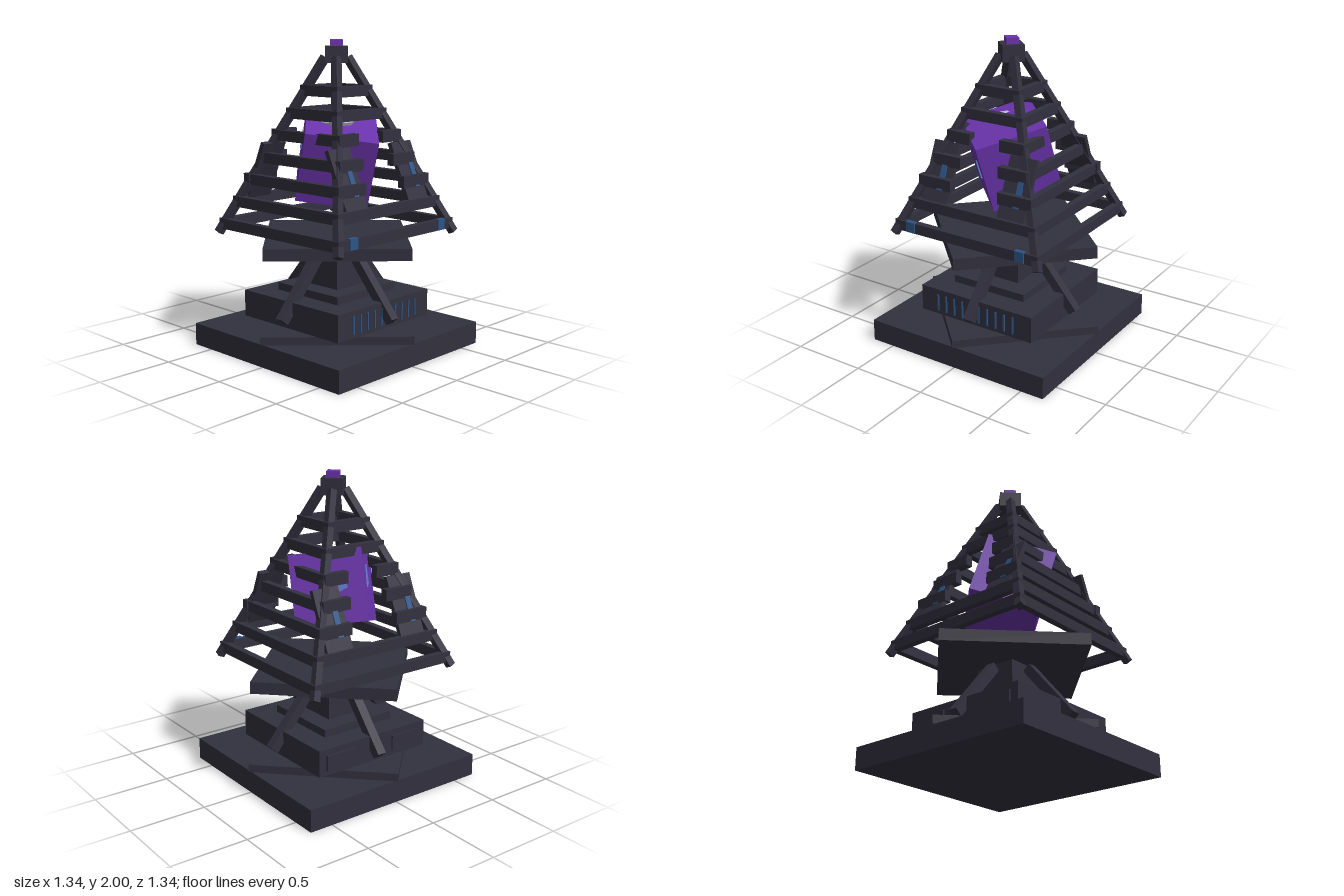
import * as THREE from 'three';

const mat = (name, color, opts = {}) => {
  const m = new THREE.MeshStandardMaterial({ color, flatShading: true, ...opts });
  m.name = name;
  return m;
};

export function createModel() {
  const model = new THREE.Group();
  model.name = 'crystalPyramid';
  const dark = mat('darkMetal', 0x32303e);
  const purple = mat('purpleCrystal', 0x6a34ac);
  const blue = mat('deepBlue', 0x2c5588);
  const shardBlue = mat('paleBlueShard', 0x6078c8);
  const pale = mat('paleRing', 0xbdb6cc);

  const add = (parent, name, geo, m, x = 0, y = 0, z = 0) => {
    const mesh = new THREE.Mesh(geo, m);
    mesh.name = name;
    mesh.position.set(x, y, z);
    parent.add(mesh);
    return mesh;
  };
  const box = (parent, name, m, w, h, d, x, y, z) =>
    add(parent, name, new THREE.BoxGeometry(w, h, d), m, x, y, z);
  // square slab turned 45 degrees, corners on the x and z axes
  const diamond = (name, m, r, y0, y1) =>
    add(model, name, new THREE.CylinderGeometry(r, r, y1 - y0, 4), m, 0, (y0 + y1) / 2, 0);
  // square bar between two points
  const bar = (parent, name, a, b, t) => {
    const dir = b.clone().sub(a);
    const mesh = box(parent, name, dark, t, dir.length(), t, 0, 0, 0);
    mesh.position.copy(a).add(b).multiplyScalar(0.5);
    mesh.quaternion.setFromUnitVectors(new THREE.Vector3(0, 1, 0), dir.normalize());
    return mesh;
  };
  const V = (x, y, z) => new THREE.Vector3(x, y, z);

  // Base, plinth and column
  box(model, 'base', dark, 1.315, 0.145, 1.315, 0, 0.0725, 0);
  diamond('baseDiamond', dark, 0.672, 0.145, 0.197);
  box(model, 'plinth', dark, 0.85, 0.175, 0.85, 0, 0.2845, 0);
  box(model, 'plinthStep', dark, 0.54, 0.05, 0.54, 0, 0.397, 0);
  box(model, 'column', dark, 0.29, 0.25, 0.29, 0, 0.547, 0);
  diamond('platform', dark, 0.645, 0.67, 0.747);

  // Slits on the front of the plinth, panels on the back
  for (let i = 0; i < 10; i++)
    box(model, 'ventSlit', blue, 0.01, 0.115, 0.009, (i - 4.5) * 0.0645, 0.28, 0.429);
  for (const s of [-1, 1])
    box(model, 'backPanel', dark, 0.22, 0.1, 0.02, s * 0.26, 0.28, -0.427);

  // Four slanted struts
  for (let i = 0; i < 4; i++) {
    const g = new THREE.Group();
    g.name = 'strutGroup';
    g.rotation.y = i * Math.PI / 2;
    bar(g, 'strut', V(0, 0.255, 0.49), V(0, 0.645, 0.16), 0.062);
    model.add(g);
  }

  // Pyramid frame: corner legs
  const reach = y => 0.54 - 0.434 * (y - 0.76);
  for (const sx of [-1, 1]) for (const sz of [-1, 1])
    bar(model, 'cornerLeg', V(sx * 0.54, 0.76, sz * 0.54), V(sx * 0.05, 1.889, sz * 0.05), 0.046);

  // Pyramid frame: crossbars; front and back leave a gap in the middle
  const levels = [0.82, 0.965, 1.11, 1.25, 1.395, 1.535, 1.68];
  const gaps = { 2: [0.175, 0.42], 3: [0.14, 0.345], 4: [0.11, 0.285] };
  for (let side = 0; side < 4; side++) {
    const g = new THREE.Group();
    g.name = ['frontFace', 'leftFace', 'backFace', 'rightFace'][side];
    g.rotation.y = side * Math.PI / 2;
    model.add(g);
    const open = side % 2 === 0;
    levels.forEach((y, i) => {
      const r = reach(y);
      if (open && gaps[i]) {
        const [a, b] = gaps[i];
        for (const s of [-1, 1])
          box(g, 'shortCrossbar', dark, b - a, 0.075, 0.05, s * (a + b) / 2, y, r + 0.012);
      } else {
        box(g, 'crossbar', dark, 2 * r + 0.045, 0.068, 0.045, 0, y, r);
      }
    });
    // Sloping shutters with a lit strip
    if (open) for (const s of [-1, 1]) {
      const shutter = new THREE.Group();
      shutter.name = 'shutter';
      shutter.position.set(s * 0.285, 1.165, reach(1.165));
      shutter.rotation.x = -Math.atan(0.434);
      box(shutter, 'shutterPanel', dark, 0.19, 0.4, 0.03, 0, 0, 0);
      box(shutter, 'shutterStrip', blue, 0.04, 0.18, 0.008, 0.025, -0.02, 0.019);
      g.add(shutter);
    }
  }

  // Blue lamps on the lowest front crossbar
  for (const s of [-1, 1])
    box(model, 'lamp', blue, 0.066, 0.07, 0.03, s * 0.41, 0.825, reach(0.82) + 0.016);

  // Cap and tip
  diamond('cap', dark, 0.1, 1.855, 1.96);
  diamond('capTip', purple, 0.057, 1.96, 2.0);

  // Tilted crystal cube
  const crystal = new THREE.Group();
  crystal.name = 'crystal';
  crystal.position.set(0, 1.243, 0);
  crystal.rotation.set(0.3, Math.PI / 4, 0.09, 'ZXY');
  model.add(crystal);
  const size = 0.46;
  box(crystal, 'crystalCube', purple, size, size, size, 0, 0, 0);

  // Thin shards on the crystal's sides
  const tri = new THREE.Shape([[-0.04, -0.07], [0.035, -0.04], [-0.005, 0.075]]
    .map(p => new THREE.Vector2(...p)));
  const shardGeo = new THREE.ExtrudeGeometry(tri, { depth: 0.008, bevelEnabled: false });
  [[-0.09, -0.03], [0.09, 0.03], [-0.09, 0.05], [0.08, 0]].forEach(([u, v], i) => {
    const g = new THREE.Group();
    g.name = 'shardSide';
    g.rotation.y = i * Math.PI / 2;
    add(g, 'shard', shardGeo, shardBlue, u, v, size / 2);
    crystal.add(g);
  });

  // Pale ring on top of the crystal
  const ring = add(model, 'ring', new THREE.TorusGeometry(0.095, 0.022, 6, 16), pale, 0, 1.48, 0);
  ring.rotation.x = Math.PI / 2;

  return model;
}
